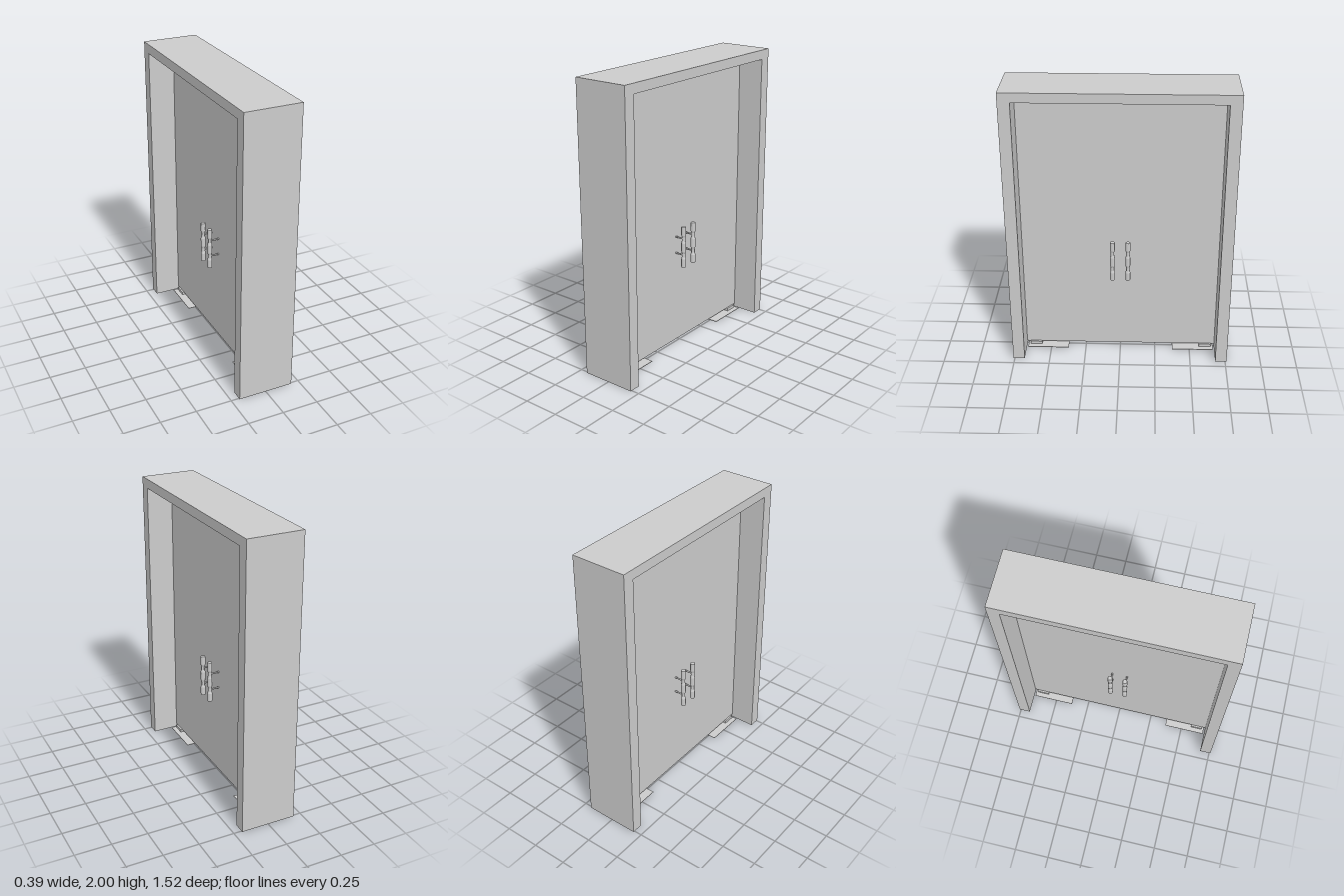
import * as THREE from 'three';

const material = new THREE.MeshStandardMaterial({ color: 0xcccccc });

function add(parent, name, geometry, x = 0, y = 0, z = 0) {
  const mesh = new THREE.Mesh(geometry, material);
  mesh.name = name;
  mesh.position.set(x, y, z);
  parent.add(mesh);
  return mesh;
}

// Portal: two jambs and a head in one extruded outline, open at the floor
function frameGeometry() {
  const W = 0.76, w = 0.68, H = 2, h = 1.935, depth = 0.386;
  const outline = [[-W, 0], [-w, 0], [-w, h], [w, h], [w, 0], [W, 0], [W, H], [-W, H]];
  const shape = new THREE.Shape(outline.map(([a, b]) => new THREE.Vector2(a, b)));
  const geometry = new THREE.ExtrudeGeometry(shape, { depth, bevelEnabled: false });
  return geometry.translate(0, 0, -depth / 2).rotateY(Math.PI / 2);
}

// Pull bar: full at the ends and middle, necked where the posts meet it
function pullBarGeometry() {
  const profile = [
    [0, 0.6], [0.015, 0.6], [0.017, 0.603], [0.017, 0.66], [0.0125, 0.675],
    [0.0125, 0.7], [0.017, 0.718], [0.017, 0.777], [0.0125, 0.795],
    [0.0125, 0.82], [0.017, 0.835], [0.017, 0.892], [0.015, 0.895], [0, 0.895],
  ].map(([r, y]) => new THREE.Vector2(r, y));
  const geometry = new THREE.LatheGeometry(profile, 20).toNonIndexed();
  geometry.computeVertexNormals();
  return geometry;
}

function createHandle(side, z) {
  const handle = new THREE.Group();
  handle.name = 'pullHandle';
  add(handle, 'pullBar', pullBarGeometry(), side * 0.078, 0, z);
  for (const y of [0.688, 0.807]) {
    const post = new THREE.CylinderGeometry(0.006, 0.006, 0.07, 12).rotateZ(Math.PI / 2);
    add(handle, 'handlePost', post, side * 0.043, y, z);
  }
  return handle;
}

// One leaf with its pivots, floor plate and handles on both faces
function createLeaf(s) {
  const leaf = new THREE.Group();
  leaf.name = s > 0 ? 'frontLeaf' : 'backLeaf';
  add(leaf, 'doorPanel', new THREE.BoxGeometry(0.02, 1.895, 0.68), 0, 0.9725, s * 0.34);
  add(leaf, 'bottomPivot', new THREE.BoxGeometry(0.046, 0.021, 0.085), 0, 0.0165, s * 0.613);
  add(leaf, 'topPivot', new THREE.BoxGeometry(0.046, 0.017, 0.085), 0, 1.9265, s * 0.613);
  add(leaf, 'pivotPin', new THREE.CylinderGeometry(0.012, 0.012, 0.006, 16), 0, 0.005, s * 0.625);
  add(leaf, 'floorPlate', new THREE.BoxGeometry(0.112, 0.004, 0.295), 0, 0.002, s * 0.5225);
  for (const side of [-1, 1]) leaf.add(createHandle(side, s * 0.053));
  return leaf;
}

export function createModel() {
  const model = new THREE.Group();
  model.name = 'doubleDoor';
  add(model, 'doorFrame', frameGeometry());
  for (const s of [-1, 1]) model.add(createLeaf(s));
  return model;
}
